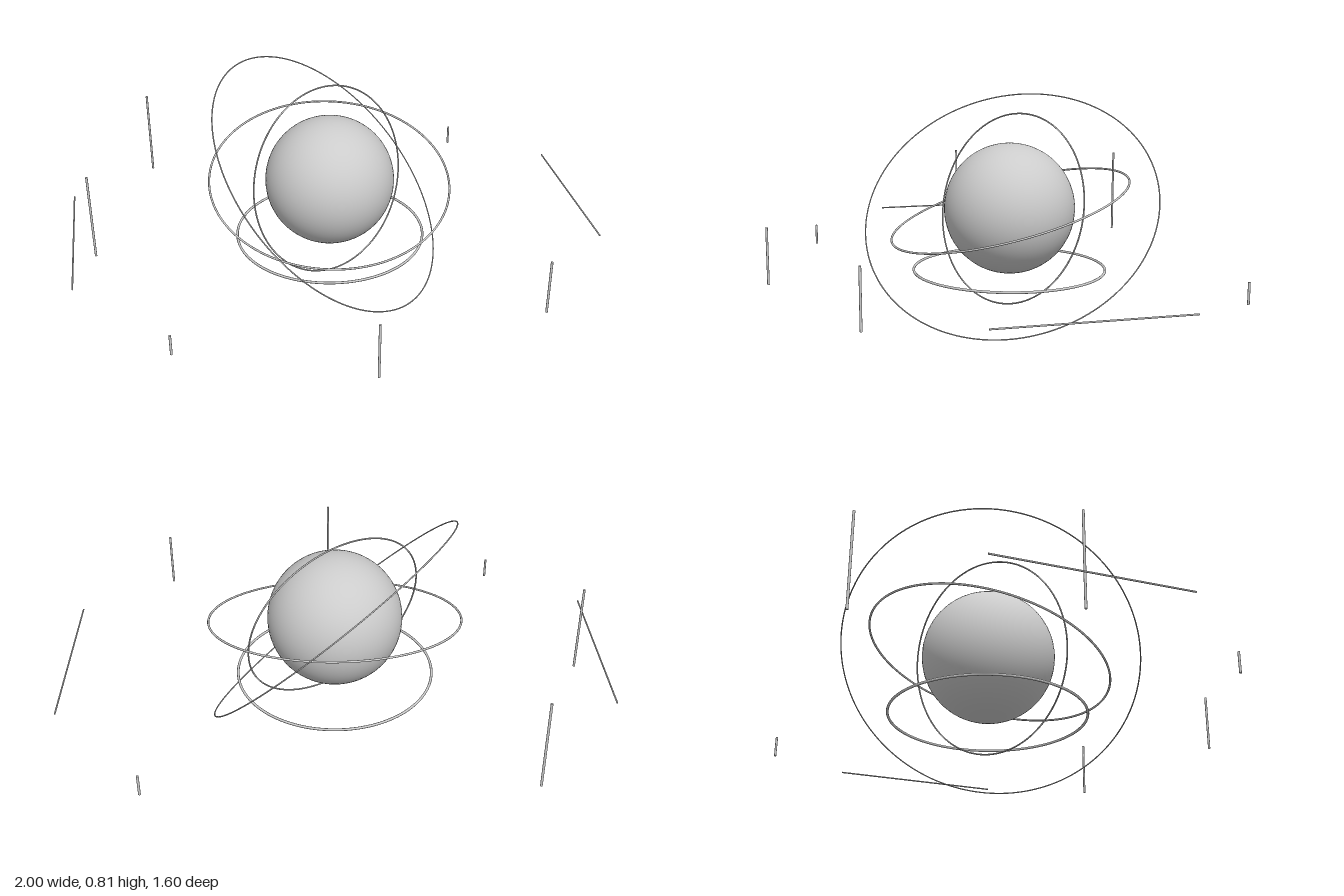
import * as THREE from 'three';

const CY = 0.408, CZ = -0.125; // centre of the globe
const BASE = 0.162; // foot height of the posts

export function createModel() {
  const model = new THREE.Group();
  const grey = new THREE.MeshStandardMaterial({ color: 0xcccccc });

  const add = (name, geometry, x, y, z) => {
    const mesh = new THREE.Mesh(geometry, grey);
    mesh.name = name;
    mesh.position.set(x, y, z);
    model.add(mesh);
    return mesh;
  };

  // Central globe
  add('globe', new THREE.SphereGeometry(0.25, 64, 40), 0, CY, CZ);

  // Thin rings, each turned so that its axis follows the given normal
  const zAxis = new THREE.Vector3(0, 0, 1);
  const ring = (name, radius, tube, y, normal) => {
    const mesh = add(name, new THREE.TorusGeometry(radius, tube, 8, 160), 0, y, CZ);
    mesh.quaternion.setFromUnitVectors(zAxis, new THREE.Vector3(...normal).normalize());
  };
  const tilt = THREE.MathUtils.degToRad(15);
  ring('baseRing', 0.368, 0.005, 0.172, [0, 1, 0]);
  ring('tiltedRing', 0.467, 0.004, CY, [0, Math.cos(tilt), Math.sin(tilt)]);
  ring('innerOrbitRing', 0.365, 0.003, CY, [0.5, 0.224, 0.837]);
  ring('outerOrbitRing', 0.57, 0.0025, CY, [0.61, 0.708, 0.355]);

  // Upright posts standing around the globe: x, z from centre, height
  const posts = [
    [0, 0.917, 0.215],
    [0.67, 0.67, 0.215],
    [-0.67, 0.67, 0.08],
    [0.67, -0.67, 0.08],
    [-0.67, -0.67, 0.347],
    [-0.92, 0, 0.347],
  ];
  for (const [x, z, height] of posts) {
    add('post', new THREE.CylinderGeometry(0.0045, 0.0045, height, 12), x, BASE + height / 2, CZ + z);
  }

  // Level side rails running front to back
  for (const side of [1, -1]) {
    const rail = add(side > 0 ? 'leftRail' : 'rightRail',
      new THREE.CylinderGeometry(0.003, 0.003, 0.67, 12), side * 0.997, 0.242, CZ);
    rail.rotation.x = Math.PI / 2;
  }

  return model;
}
